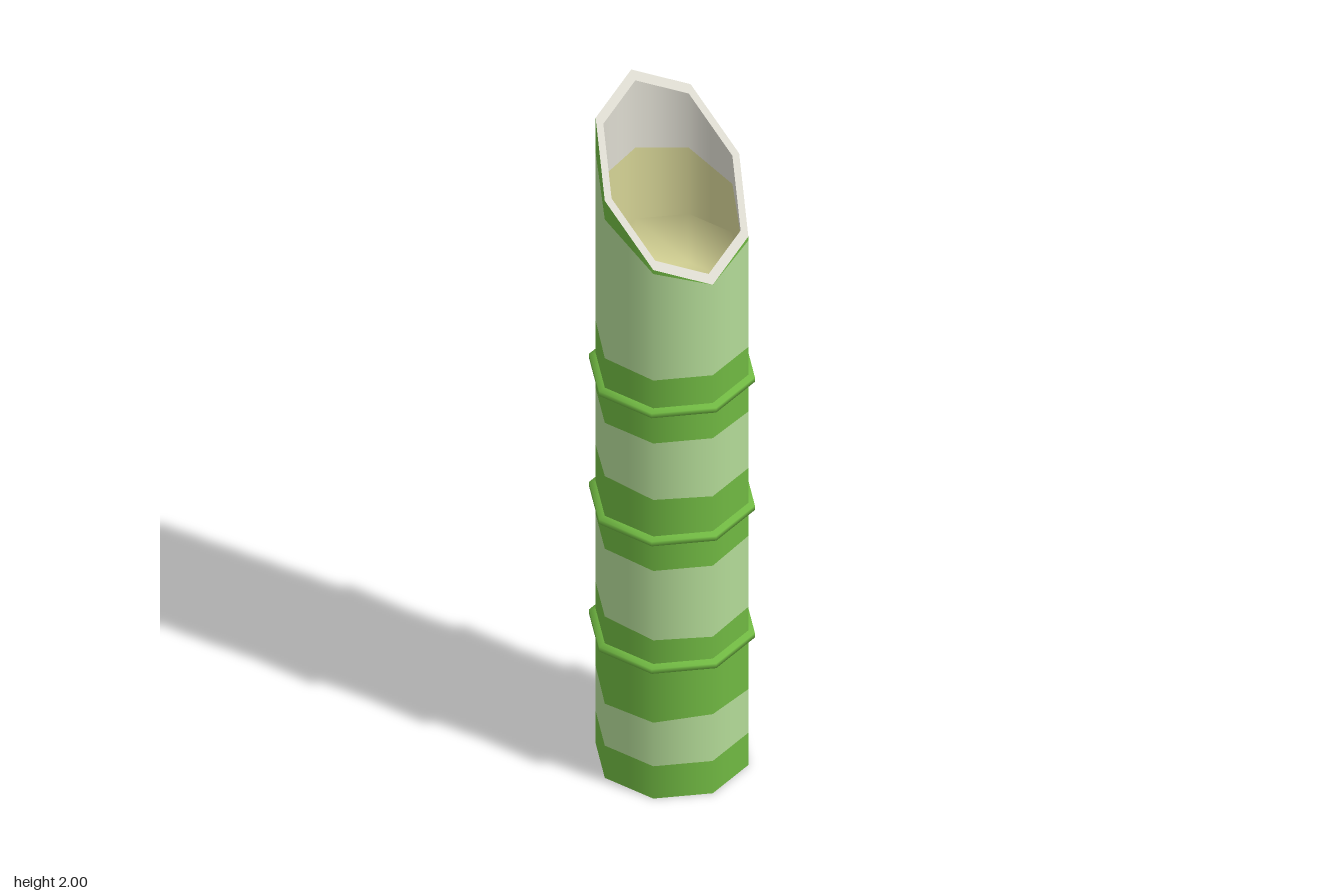
import * as THREE from 'three';

const SIDES = 8, SUB = 4, COLS = SIDES * SUB;
const OUTER = 0.198, INNER = 0.178;
const FLOOR = 1.4, CEILING = 0.12;

const mat = (name, color) => {
  const m = new THREE.MeshStandardMaterial({ color });
  m.name = name;
  return m;
};

// Point on the octagon outline (unit radius) at column i, starting at the front
function outline(i) {
  const k = Math.floor(i / SUB), t = (i % SUB) / SUB, step = Math.PI * 2 / SIDES;
  const mix = f => f(k * step) * (1 - t) + f((k + 1) * step) * t;
  return new THREE.Vector3(mix(Math.sin), 0, mix(Math.cos));
}

// Height of the slanted cut at depth z
const cut = z => 1.7875 - 1.073 * z;

// Height of a wavy border, given per octagon corner, never above the cut
function level(border, i, r) {
  const top = cut(outline(i).z * r);
  if (border === 'cut') return top;
  if (typeof border === 'number') return border;
  const k = Math.floor(i / SUB), t = (i % SUB) / SUB;
  return Math.min(top, border[k % SIDES] * (1 - t) + border[(k + 1) % SIDES] * t);
}

// Closed strip between two loops; facing: 1 outward, -1 inward, 0 flat rim
function strip(rA, borderA, rB, borderB, facing) {
  const pos = [], nor = [], idx = [];
  for (let i = 0; i <= COLS; i++) {
    const p = outline(i), n = p.clone().normalize().multiplyScalar(facing);
    pos.push(p.x * rA, level(borderA, i, rA), p.z * rA);
    pos.push(p.x * rB, level(borderB, i, rB), p.z * rB);
    nor.push(n.x, 0, n.z, n.x, 0, n.z);
    if (i < COLS) {
      const a = i * 2;
      idx.push(a, a + 2, a + 3, a, a + 3, a + 1);
    }
  }
  const g = new THREE.BufferGeometry();
  g.setAttribute('position', new THREE.Float32BufferAttribute(pos, 3));
  g.setAttribute('normal', new THREE.Float32BufferAttribute(nor, 3));
  g.setIndex(idx);
  if (facing === 0) g.computeVertexNormals();
  return g;
}

const lathe = pts => new THREE.LatheGeometry(pts.map(p => new THREE.Vector2(...p)), SIDES);

export function createModel() {
  const green = mat('stalk green', 0x70b842);
  const pale = mat('pale green', 0xb3da97);
  const cream = mat('cut cream', 0xdddbd0);
  const yellow = mat('inner yellow', 0xd5d395);

  const group = new THREE.Group();
  group.name = 'cutStalk';
  const add = (name, geometry, material) => {
    const m = new THREE.Mesh(geometry, material);
    m.name = name;
    group.add(m);
    return m;
  };

  // Outer wall: alternating green and pale bands between wavy borders
  const borders = [
    0,
    0.1,
    [0.245, 0.235, 0.225, 0.235, 0.24, 0.24, 0.23, 0.235],
    [0.485, 0.49, 0.5, 0.5, 0.505, 0.5, 0.5, 0.49],
    [0.705, 0.71, 0.7, 0.705, 0.71, 0.71, 0.71, 0.705],
    [0.92, 0.92, 0.935, 0.93, 0.925, 0.925, 0.935, 0.925],
    [1.1, 1.095, 1.08, 1.09, 1.09, 1.1, 1.1, 1.1],
    [1.295, 1.295, 1.295, 1.3, 1.315, 1.31, 1.3, 1.295],
    [1.575, 1.625, 1.735, 1.83, 1.84, 1.83, 1.73, 1.625],
    'cut',
  ];
  for (let b = 0; b < borders.length - 1; b++) {
    const isPale = b % 2 === 1;
    add((isPale ? 'paleBand' : 'greenBand') + b,
      strip(OUTER, borders[b], OUTER, borders[b + 1], 1), isPale ? pale : green);
  }

  // Raised node rings
  const ring = lathe([[0.195, -0.013], [0.215, -0.007], [0.215, 0.007], [0.195, 0.013]]);
  [0.405, 0.8, 1.197].forEach((y, i) => {
    add('nodeRing' + (i + 1), ring, green).position.y = y;
  });

  // Cut rims at the top and bottom
  add('topRim', strip(OUTER, 'cut', INNER, 'cut', 0), cream);
  add('bottomRim', strip(INNER, 0, OUTER, 0, 0), cream);

  // Upper hollow: soft floor, yellow lower wall, cream upper wall
  const stain = [1.8, 1.64, 1.7, 1.755, 1.77, 1.76, 1.7, 1.64];
  add('upperHollowFloor', lathe([[INNER, 1.55], [INNER, FLOOR], [0, FLOOR]]), yellow);
  add('upperHollowStain', strip(INNER, stain, INNER, 1.55, -1), yellow);
  add('upperHollowWall', strip(INNER, 'cut', INNER, stain, -1), cream);

  // Lower hollow
  const lowStain = [0.03, 0.02, 0.01, 0.02, 0.03, 0.02, 0.01, 0.02];
  add('lowerHollowCeiling', lathe([[0, CEILING], [INNER, CEILING], [INNER, 0.04]]), yellow);
  add('lowerHollowStain', strip(INNER, 0.04, INNER, lowStain, -1), yellow);
  add('lowerHollowWall', strip(INNER, lowStain, INNER, 0, -1), cream);

  return group;
}
